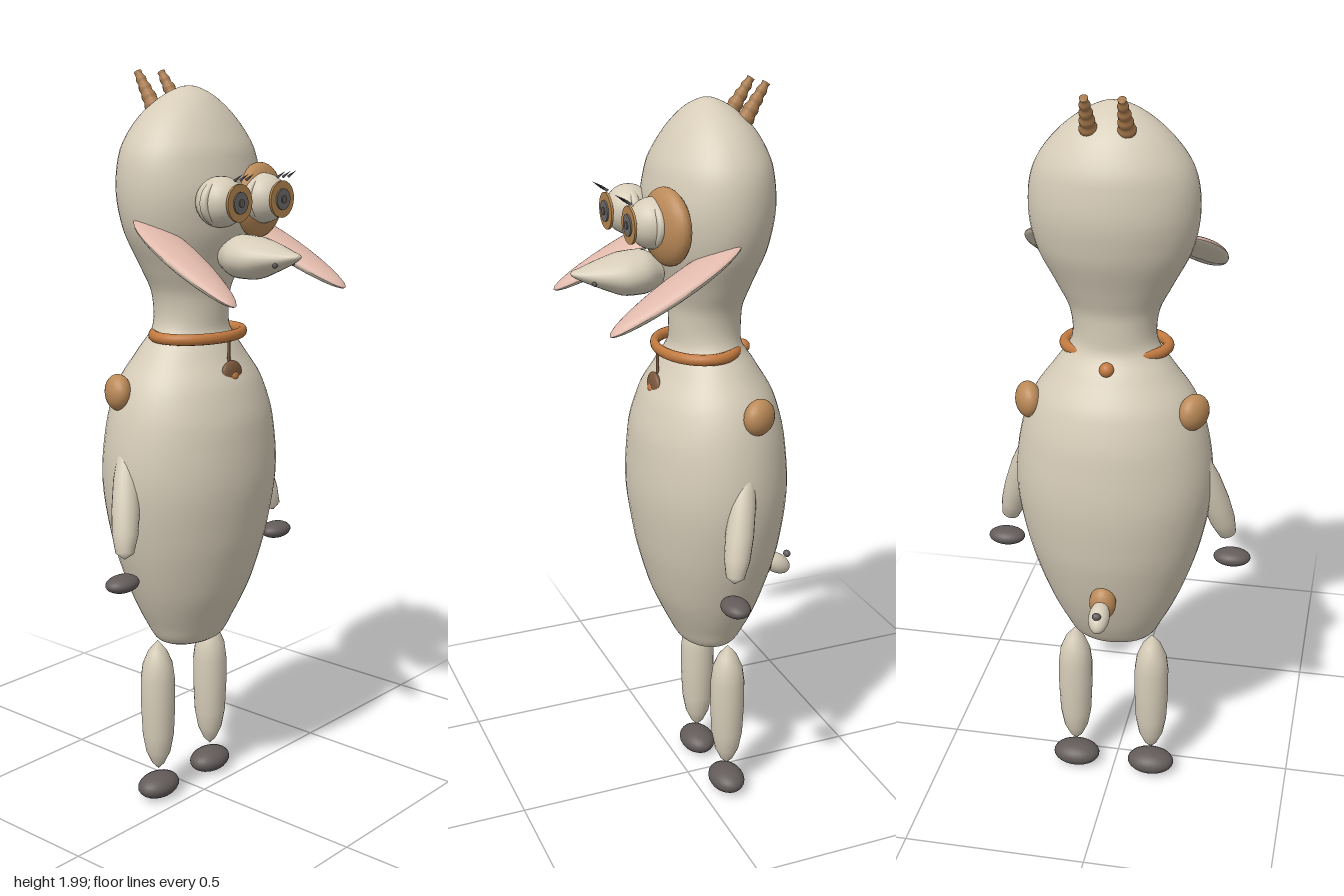
import * as THREE from 'three';
import { mergeVertices } from 'three/addons/utils/BufferGeometryUtils.js';

const paint = (name, color) => {
  const m = new THREE.MeshStandardMaterial({ color });
  m.name = name;
  return m;
};

const V = (x, y, z) => new THREE.Vector3(x, y, z);

// Smooth normals with no seam
function weld(geo) {
  geo.deleteAttribute('uv');
  geo.deleteAttribute('normal');
  const g = mergeVertices(geo, 1e-5);
  g.computeVertexNormals();
  return g;
}

// Elliptical sections [y, halfWidth, zFront, zBack], smoothly joined
function loft(rows, steps = 60, sides = 40) {
  const size = new THREE.CatmullRomCurve3(rows.map(r => V(r[0], r[1], 0)));
  const depth = new THREE.CatmullRomCurve3(rows.map(r => V(r[2], r[3], 0)));
  const pos = [], idx = [];
  for (let i = 0; i <= steps; i++) {
    const a = size.getPoint(i / steps), b = depth.getPoint(i / steps);
    for (let j = 0; j < sides; j++) {
      const t = j / sides * Math.PI * 2;
      pos.push(Math.sin(t) * a.y, a.x, (b.x + b.y) / 2 + Math.cos(t) * (b.x - b.y) / 2);
      if (i === steps) continue;
      const p = i * sides + j, q = i * sides + (j + 1) % sides;
      idx.push(p, q, q + sides, p, q + sides, p + sides);
    }
  }
  const g = new THREE.BufferGeometry();
  g.setAttribute('position', new THREE.Float32BufferAttribute(pos, 3));
  g.setIndex(idx);
  g.computeVertexNormals();
  return g;
}

// Lathe profile [radius, height]
const lathe = (pts, sides = 20) =>
  weld(new THREE.LatheGeometry(pts.map(p => new THREE.Vector2(p[0], p[1])), sides));

export function createModel() {
  const root = new THREE.Group();
  const cream = paint('creamCoat', 0xd6ccb8);
  const tan = paint('tanPatch', 0xbb8a58);
  const horn = paint('hornBrown', 0xa87a4c);
  const hoof = paint('hoofGrey', 0x625b5a);
  const pink = paint('earPink', 0xdfb8aa);
  const orange = paint('collarOrange', 0xc27a40);
  const iris = paint('irisBrown', 0xb5864f);
  const pupil = paint('pupilGrey', 0x6c6a69);
  const bell = paint('bellBrown', 0x7a583c);

  const add = (name, geo, mat, p = [0, 0, 0], parent = root) => {
    const m = new THREE.Mesh(geo, mat);
    m.name = name;
    m.position.set(...p);
    parent.add(m);
    return m;
  };
  const ball = (name, mat, p, r, parent = root) => {
    const m = add(name, new THREE.SphereGeometry(1, 24, 16), mat, p, parent);
    m.scale.set(...r);
    return m;
  };
  // Places a unit-high lathe between two points
  const span = (name, geo, mat, a, b) => {
    const m = add(name, geo, mat, a.toArray());
    const d = b.clone().sub(a);
    m.quaternion.setFromUnitVectors(V(0, 1, 0), d.clone().normalize());
    m.scale.y = d.length();
    return m;
  };

  // Body, neck and head in one skin
  add('bodyAndHead', loft([
    [0.47, 0.001, -0.052, -0.054], [0.47, 0.1, 0.02, -0.125], [0.53, 0.14, 0.055, -0.165],
    [0.63, 0.188, 0.1, -0.205], [0.78, 0.237, 0.14, -0.245], [0.95, 0.264, 0.16, -0.262],
    [1.1, 0.248, 0.15, -0.25], [1.2, 0.214, 0.12, -0.222], [1.28, 0.158, 0.075, -0.175],
    [1.35, 0.112, 0.045, -0.138], [1.43, 0.115, 0.047, -0.14], [1.5, 0.148, 0.066, -0.162],
    [1.6, 0.198, 0.1, -0.2], [1.7, 0.215, 0.112, -0.217], [1.8, 0.2, 0.095, -0.208],
    [1.88, 0.145, 0.052, -0.17], [1.935, 0.075, 0.005, -0.115], [1.958, 0.022, -0.036, -0.07],
    [1.96, 0.001, -0.052, -0.054]], 100, 48), cream);

  // Muzzle, lofted upright then laid forward
  const muzzle = loft([[0.08, 0.04, -1.5, -1.57], [0.13, 0.074, -1.482, -1.594],
    [0.18, 0.08, -1.483, -1.591], [0.23, 0.063, -1.502, -1.578], [0.28, 0.034, -1.525, -1.563],
    [0.31, 0.012, -1.542, -1.555], [0.314, 0.001, -1.548, -1.549]], 30, 28);
  muzzle.rotateX(Math.PI / 2);
  add('muzzle', muzzle, cream);

  // Collar, clasp and bell
  const collar = add('collar', new THREE.TorusGeometry(0.135, 0.015, 12, 48).rotateX(Math.PI / 2),
    orange, [0, 1.325, -0.022]);
  collar.scale.z = 0.76;
  ball('collarClasp', orange, [0, 1.305, -0.157], [0.019, 0.019, 0.019]);
  add('bellCord', new THREE.CylinderGeometry(0.004, 0.004, 0.06, 8), bell, [0, 1.285, 0.085]);
  const dome = add('bell', new THREE.SphereGeometry(0.042, 20, 10, 0, Math.PI * 2, 0, Math.PI / 2),
    bell, [0, 1.222, 0.094]);
  dome.scale.z = 0.35;
  bell.side = THREE.DoubleSide;
  ball('bellClapper', orange, [0, 1.222, 0.104], [0.015, 0.014, 0.008]);

  // Unit profiles for limbs and ridged horns
  const limb = lathe([[0, 0], [0.018, 0.05], [0.034, 0.14], [0.044, 0.28], [0.048, 0.5],
    [0.048, 0.7], [0.042, 0.82], [0.026, 0.92], [0, 1]]);
  const arm = lathe([[0, 0], [0.014, 0.05], [0.025, 0.15], [0.034, 0.35], [0.037, 0.6],
    [0.034, 0.8], [0.024, 0.95], [0, 1]]);
  const ridges = [];
  for (let i = 0; i <= 30; i++) {
    const t = i / 30;
    ridges.push([0.025 - 0.015 * t + 0.0015 * Math.sin(t * 32), t]);
  }
  ridges.push([0, 1]);
  const hornShape = lathe(ridges, 16);

  for (const s of [1, -1]) {
    const side = s > 0 ? 'left' : 'right';

    // Limbs and hooves
    span(side + 'Leg', limb, cream, V(s * 0.11, 0.09, -0.075), V(s * 0.11, 0.475, -0.075));
    ball(side + 'Foot', hoof, [s * 0.11, 0.041, -0.075], [0.067, 0.034, 0.049]);
    span(side + 'Arm', arm, cream, V(s * 0.22, 1.07, -0.075), V(s * 0.308, 0.772, -0.004));
    ball(side + 'Hand', hoof, [s * 0.318, 0.71, -0.003], [0.051, 0.023, 0.037]);

    // Shoulder patch
    const patch = ball(side + 'ShoulderPatch', tan, [s * 0.217, 1.185, -0.108], [0.034, 0.048, 0.05]);
    patch.rotation.y = s * 0.5;

    // Horn
    span(side + 'Horn', hornShape, horn, V(s * 0.047, 1.885, -0.118), V(s * 0.045, 1.994, -0.19));

    // Ear: pink upper face, coat-coloured underside
    const ear = new THREE.Group();
    ear.name = side + 'Ear';
    ear.position.set(s * 0.2, 1.542, 0.112);
    ear.rotation.x = 0.48;
    root.add(ear);
    [['earInner', pink, 0], ['earOuter', cream, Math.PI / 2]].forEach(([n, mat, start]) => {
      const g = new THREE.SphereGeometry(1, 32, 8, 0, Math.PI * 2, start, Math.PI / 2);
      const p = g.attributes.position;
      for (let i = 0; i < p.count; i++) {
        const z = p.getZ(i);
        p.setXYZ(i, p.getX(i) * 0.062 * (1 - 0.25 * z) + s * 0.022 * z, p.getY(i) * 0.022, z * 0.203);
      }
      g.computeVertexNormals();
      add(n, g, mat, [0, 0, 0], ear);
    });

    // Eye: ball, lid ring, iris, pupil, lashes
    const eye = new THREE.Group();
    eye.name = side + 'Eye';
    eye.position.set(s * 0.084, 1.68, 0.128);
    root.add(eye);
    ball('eyeball', cream, [0, 0, 0], [0.066, 0.064, 0.062], eye);
    const lid = add('eyelid', new THREE.TorusGeometry(0.066, 0.011, 10, 36), cream, [0, 0, 0.002], eye);
    lid.scale.y = 0.8;
    const disc = (n, r, z, mat) =>
      add(n, new THREE.CylinderGeometry(r, r, 0.006, 28).rotateX(Math.PI / 2), mat, [0, 0, z], eye);
    disc('iris', 0.047, 0.06, iris);
    disc('pupil', 0.027, 0.064, pupil);
    disc('pupilCentre', 0.01, 0.067, hoof);
    for (const k of [-1, 0, 1]) {
      const lash = add('eyelash', new THREE.ConeGeometry(0.004, 0.03, 8), hoof,
        [k * 0.022, 0.064, 0.076], eye);
      lash.rotation.x = 1.0;
    }

    // Nostril
    const nostril = ball(side + 'Nostril', hoof, [s * 0.034, 1.531, 0.264], [0.008, 0.011, 0.006]);
    nostril.rotation.z = s * 0.5;
  }

  // Patch around the left eye
  const eyePatch = ball('eyePatch', tan, [0.103, 1.672, 0.098], [0.1, 0.097, 0.042]);
  eyePatch.rotation.y = 0.15;

  // Tail
  ball('tailPatch', tan, [0, 0.658, -0.222], [0.036, 0.048, 0.032]);
  const tail = ball('tail', cream, [0, 0.643, -0.272], [0.028, 0.028, 0.046]);
  tail.rotation.x = -0.6;
  ball('tailTip', hoof, [0, 0.666, -0.305], [0.012, 0.01, 0.01]);

  return root;
}
